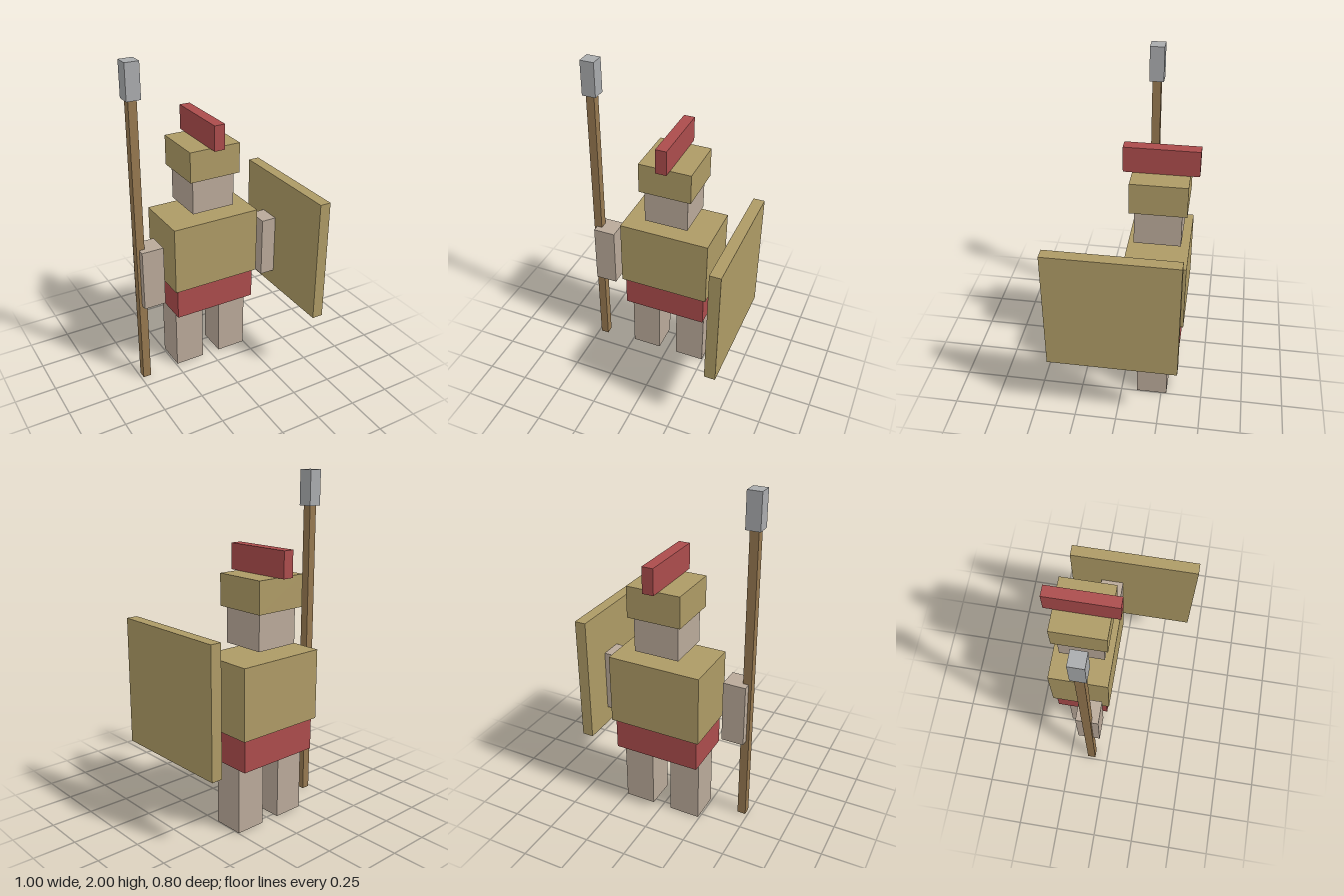
import * as THREE from 'three';

const material = (name, color) => {
  const m = new THREE.MeshStandardMaterial({ color });
  m.name = name;
  return m;
};

export function createModel() {
  const skin = material('skin', 0xb9a999);
  const bronze = material('bronze', 0xad9a65);
  const red = material('red cloth', 0xab4c4c);
  const wood = material('wood', 0x967850);
  const steel = material('steel', 0xa9abad);

  const model = new THREE.Group();
  model.name = 'spearman';

  // Adds a box given its [min, max] extent on each axis
  const box = (name, mat, [x0, x1], [y0, y1], [z0, z1]) => {
    const mesh = new THREE.Mesh(new THREE.BoxGeometry(x1 - x0, y1 - y0, z1 - z0), mat);
    mesh.position.set((x0 + x1) / 2, (y0 + y1) / 2, (z0 + z1) / 2);
    mesh.name = name;
    model.add(mesh);
  };

  // The body is centred slightly to the left of the origin
  const cx = 0.003;
  const centred = (w) => [cx - w / 2, cx + w / 2];

  // Legs and arms, mirrored about the body
  for (const [side, s] of [['left', 1], ['right', -1]]) {
    const span = (a, b) => (s > 0 ? [cx + a, cx + b] : [cx - b, cx - a]);
    box(side + 'Leg', skin, span(0.059, 0.244), [0, 0.402], [-0.283, -0.097]);
    box(side + 'Arm', skin, span(0.337, 0.471), [0.53, 0.906], [-0.175, -0.041]);
  }

  // Body
  box('skirt', red, centred(0.519), [0.402, 0.595], [-0.349, -0.031]);
  box('breastplate', bronze, centred(0.555), [0.595, 1.012], [-0.367, -0.014]);

  // Head, helmet and crest
  box('head', skin, centred(0.268), [1.065, 1.276], [-0.322, -0.056]);
  box('helmet', bronze, centred(0.319), [1.276, 1.46], [-0.35, -0.031]);
  box('helmetCrest', red, centred(0.066), [1.46, 1.61], [-0.4, 0.02]);

  // Spear in the right hand
  box('spearShaft', wood, [-0.485, -0.435], [0, 1.795], [-0.131, -0.081]);
  box('spearHead', steel, [-0.5, -0.417], [1.795, 2], [-0.148, -0.065]);

  // Shield on the left arm
  box('shield', bronze, [0.433, 0.5], [0.424, 1.181], [-0.358, 0.4]);

  return model;
}
